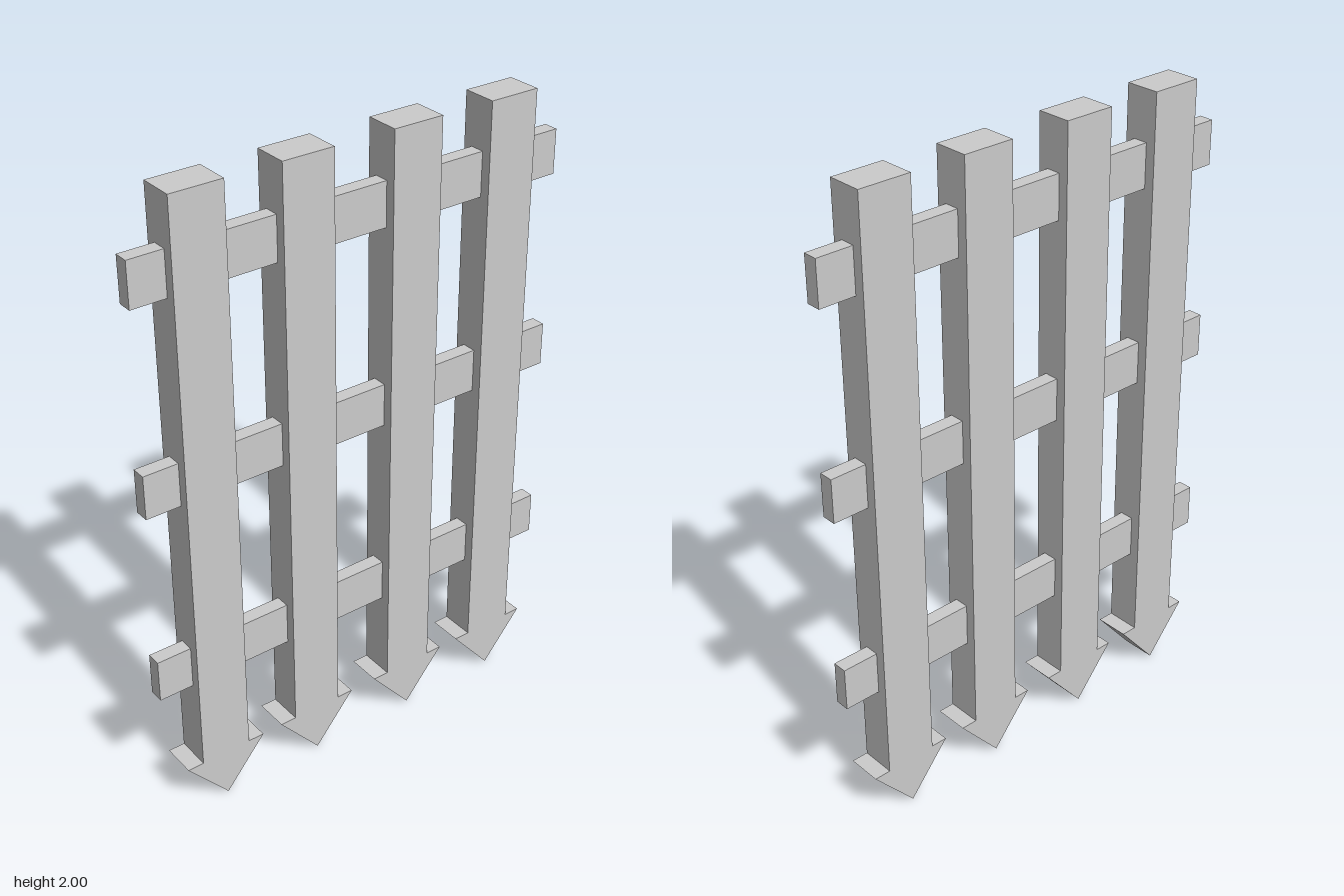
import * as THREE from 'three';

export function createModel() {
  const group = new THREE.Group();
  group.name = 'picketFence';
  const material = new THREE.MeshStandardMaterial({ color: 0xcccccc, flatShading: true });

  const HALF_WIDTH = 0.082, TIP_HALF_WIDTH = 0.135, TIP_TOP = 0.16, HEIGHT = 2, DEPTH = 0.11;

  // Picket outline: a straight plank ending in an arrow-shaped ground spike
  const outline = new THREE.Shape([
    [0, 0], [TIP_HALF_WIDTH, TIP_TOP], [HALF_WIDTH, TIP_TOP], [HALF_WIDTH, HEIGHT],
    [-HALF_WIDTH, HEIGHT], [-HALF_WIDTH, TIP_TOP], [-TIP_HALF_WIDTH, TIP_TOP],
  ].map(([x, y]) => new THREE.Vector2(x, y)));
  const picketGeometry = new THREE.ExtrudeGeometry(outline, { depth: DEPTH, bevelEnabled: false });
  picketGeometry.translate(0, 0, -DEPTH / 2);

  // Four pickets
  [-0.52, -0.182, 0.178, 0.516].forEach((x, i) => {
    const picket = new THREE.Mesh(picketGeometry, material);
    picket.name = `picket${i + 1}`;
    picket.position.x = x;
    group.add(picket);
  });

  // Three thin cross rails running through the pickets
  const railGeometry = new THREE.BoxGeometry(1.425, 0.138, 0.046);
  [0.51, 1.143, 1.775].forEach((y, i) => {
    const rail = new THREE.Mesh(railGeometry, material);
    rail.name = `rail${i + 1}`;
    rail.position.y = y;
    group.add(rail);
  });

  return group;
}
